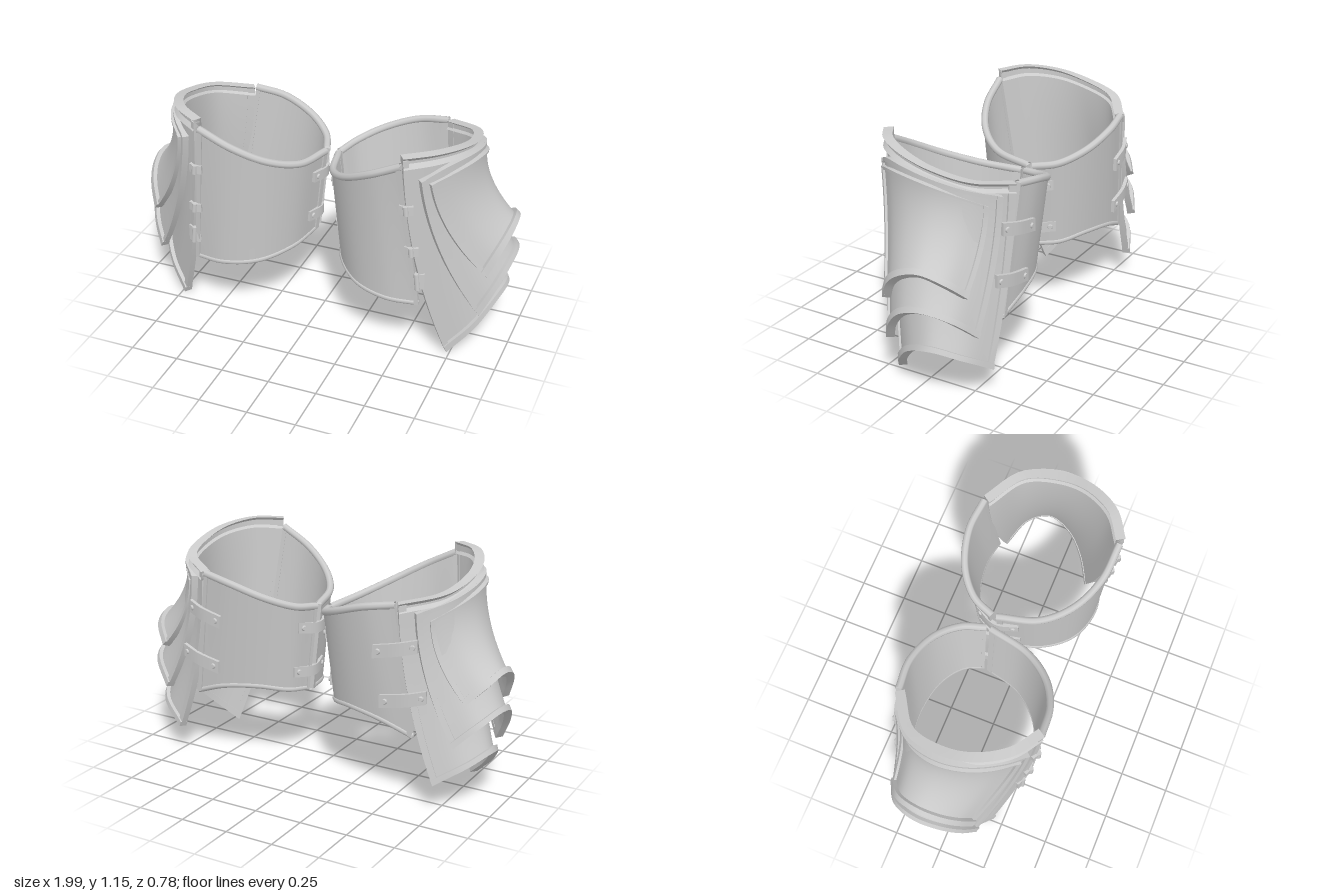
import * as THREE from 'three';

const material = new THREE.MeshStandardMaterial({ color: 0xcccccc, side: THREE.DoubleSide });
const curve = (pts) => new THREE.CatmullRomCurve3(pts.map((p) => new THREE.Vector3(...p)));

// Surface between a top and a bottom curve; bow bends its middle in x and (towards the front) z.
function surface(top, bottom, bowX = 0, bowZ = 0) {
  const a = curve(top), b = curve(bottom);
  const point = (u, v) => {
    const p = a.getPoint(u).lerp(b.getPoint(u), v);
    const k = 4 * v * (1 - v);
    p.x += bowX * k;
    p.z += bowZ * k * (1 - u);
    return p;
  };
  const normal = (u, v) => {
    const e = 0.01;
    const du = point(Math.min(u + e, 1), v).sub(point(Math.max(u - e, 0), v));
    const up = point(u, Math.max(v - e, 0)).sub(point(u, Math.min(v + e, 1)));
    return du.cross(up).normalize();
  };
  return { point, normal };
}

// Solid shell over part of a surface, from offset inner to offset outer along the normal.
function shell(s, inner, outer, u0 = 0, u1 = 1, v0 = 0, v1 = 1) {
  const nu = Math.max(1, Math.ceil((u1 - u0) * 28)), nv = Math.max(1, Math.ceil((v1 - v0) * 14));
  const geo = new THREE.BoxGeometry(1, 1, 1, nu, nv, 1);
  const pos = geo.attributes.position;
  for (let i = 0; i < pos.count; i++) {
    const u = THREE.MathUtils.lerp(u0, u1, pos.getX(i) + 0.5);
    const v = THREE.MathUtils.lerp(v0, v1, 0.5 - pos.getY(i));
    const p = s.point(u, v).addScaledVector(s.normal(u, v), pos.getZ(i) > 0 ? outer : inner);
    pos.setXYZ(i, p.x, p.y, p.z);
  }
  geo.computeVertexNormals();
  return geo;
}

// Rolled rim along a line of constant v
function rolledRim(s, v, radius) {
  const pts = [];
  for (let i = 0; i <= 24; i++) pts.push(s.point(i / 24, v));
  return new THREE.TubeGeometry(new THREE.CatmullRomCurve3(pts), 48, radius, 8);
}

function mirrored(geo) {
  const g = geo.clone().scale(-1, 1, 1);
  const idx = g.index;
  for (let i = 0; i < idx.count; i += 3) {
    const t = idx.getX(i);
    idx.setX(i, idx.getX(i + 1));
    idx.setX(i + 1, t);
  }
  return g;
}

export function createModel() {
  const left = new THREE.Group(), right = new THREE.Group();
  left.name = 'leftThighGuard';
  right.name = 'rightThighGuard';
  const add = (name, geo) => {
    [[left, geo], [right, mirrored(geo)]].forEach(([group, g]) => {
      const mesh = new THREE.Mesh(g, material);
      mesh.name = name;
      group.add(mesh);
    });
  };

  // Inner front and back plates, closing the ring round the thigh
  const inner = {
    frontPlate: surface(
      [[0.035, 0.87, -0.09], [0.09, 0.89, 0.12], [0.2, 0.95, 0.26], [0.35, 1.035, 0.34], [0.515, 1.12, 0.36]],
      [[0.085, 0.41, -0.09], [0.14, 0.39, 0.11], [0.27, 0.355, 0.25], [0.44, 0.335, 0.3], [0.605, 0.325, 0.275]]),
    backPlate: surface(
      [[0.53, 1.03, -0.355], [0.37, 1, -0.37], [0.2, 0.94, -0.325], [0.085, 0.89, -0.23], [0.035, 0.87, -0.115]],
      [[0.62, 0.37, -0.32], [0.45, 0.43, -0.33], [0.27, 0.45, -0.295], [0.14, 0.43, -0.215], [0.085, 0.42, -0.115]]),
  };
  for (const [name, s] of Object.entries(inner)) {
    add(name, shell(s, -0.012, 0.008));
    add(name + 'TopRim', rolledRim(s, 0.01, 0.019));
    add(name + 'BottomRim', rolledRim(s, 0.99, 0.015));
    add(name + 'SideRim', shell(s, -0.014, 0.015, 0, 0.035));
    add(name + 'SideRim', shell(s, -0.014, 0.015, 0.965, 1));
  }

  // Three overlapping outer plates, flaring outward towards pointed lower corners
  const outer = {
    lowerTasset: surface(
      [[0.52, 1.15, 0.36], [0.65, 1.155, 0.27], [0.735, 1.135, 0.12], [0.755, 1.1, -0.04], [0.71, 1.06, -0.22], [0.54, 1.02, -0.345]],
      [[0.72, 0.015, 0.18], [0.83, 0.13, 0.1], [0.9, 0.235, 0], [0.93, 0.28, -0.13], [0.87, 0.24, -0.25], [0.73, 0.15, -0.325]],
      -0.04, 0.03),
    middleTasset: surface(
      [[0.6, 1.04, 0.33], [0.69, 1.09, 0.24], [0.765, 1.1, 0.1], [0.785, 1.08, -0.05], [0.74, 1.04, -0.21], [0.62, 0.99, -0.325]],
      [[0.865, 0.25, 0.145], [0.92, 0.36, 0.09], [0.96, 0.455, 0], [0.97, 0.49, -0.12], [0.93, 0.455, -0.23], [0.82, 0.35, -0.305]],
      -0.045, 0.025),
    upperTasset: surface(
      [[0.64, 1.02, 0.305], [0.73, 1.055, 0.2], [0.785, 1.065, 0.08], [0.8, 1.05, -0.06], [0.76, 1.01, -0.18], [0.67, 0.95, -0.28]],
      [[0.89, 0.475, 0.14], [0.935, 0.58, 0.08], [0.962, 0.645, 0], [0.968, 0.675, -0.1], [0.94, 0.64, -0.2], [0.86, 0.56, -0.27]],
      -0.045, 0.02),
  };
  for (const [name, s] of Object.entries(outer)) {
    const lip = name === 'lowerTasset' ? 0.97 : name === 'middleTasset' ? 0.96 : 0.94;
    add(name, shell(s, -0.012, 0.006));
    add(name + 'FrontRim', shell(s, -0.014, 0.018, 0, 0.035));
    add(name + 'BackRim', shell(s, -0.014, 0.018, 0.965, 1));
    add(name + 'Lip', shell(s, -0.016, 0.026, 0, 1, lip, 1));
    if (name === 'lowerTasset') add('topBand', shell(s, -0.024, 0.024, 0, 1, -0.012, 0.04));
    else add(name + 'TopRim', shell(s, -0.014, 0.016, 0, 1, 0, 0.03));
  }

  // Strap of a given height along three points, with studs near its ends
  function strap(name, pts, height, thickness, studs) {
    const s = surface(
      pts.map(([x, y, z]) => [x, y + height / 2, z]),
      pts.map(([x, y, z]) => [x, y - height / 2, z]));
    add(name, shell(s, -0.006, thickness));
    for (const u of studs) {
      const n = s.normal(u, 0.5), p = s.point(u, 0.5).addScaledVector(n, thickness);
      const stud = new THREE.CylinderGeometry(0.011, 0.018, 0.016, 10);
      stud.applyQuaternion(new THREE.Quaternion().setFromUnitVectors(new THREE.Vector3(0, 1, 0), n));
      add(name + 'Stud', stud.translate(p.x, p.y, p.z));
    }
  }
  // Back straps between outer and back plates
  strap('backStrap', [[0.64, 0.835, -0.335], [0.55, 0.815, -0.368], [0.43, 0.79, -0.38]], 0.065, 0.012, [0.12, 0.88]);
  strap('backStrap', [[0.69, 0.59, -0.33], [0.59, 0.565, -0.355], [0.46, 0.54, -0.362]], 0.065, 0.012, [0.12, 0.88]);
  // Inner straps across the seam
  strap('innerStrap', [[0.085, 0.77, -0.21], [0.034, 0.755, -0.1], [0.058, 0.765, 0.02]], 0.055, 0.012, [0.12, 0.88]);
  strap('innerStrap', [[0.115, 0.53, -0.21], [0.062, 0.52, -0.1], [0.086, 0.53, 0.02]], 0.055, 0.012, [0.12, 0.88]);

  // Front hinges: a leaf with a knuckle barrel
  for (const [x, y, z, h] of [[0.547, 0.885, 0.352, 0.045], [0.572, 0.65, 0.327, 0.045], [0.598, 0.47, 0.296, 0.085]]) {
    strap('frontHinge', [[x - 0.035, y, z - 0.004], [x, y, z], [x + 0.03, y, z - 0.012]], h, 0.012, []);
    add('hingeBarrel', new THREE.CylinderGeometry(0.013, 0.013, h * 1.05, 10).rotateZ(0.1).translate(x, y, z + 0.01));
  }

  const model = new THREE.Group();
  model.name = 'thighGuards';
  model.add(left, right);
  return model;
}
